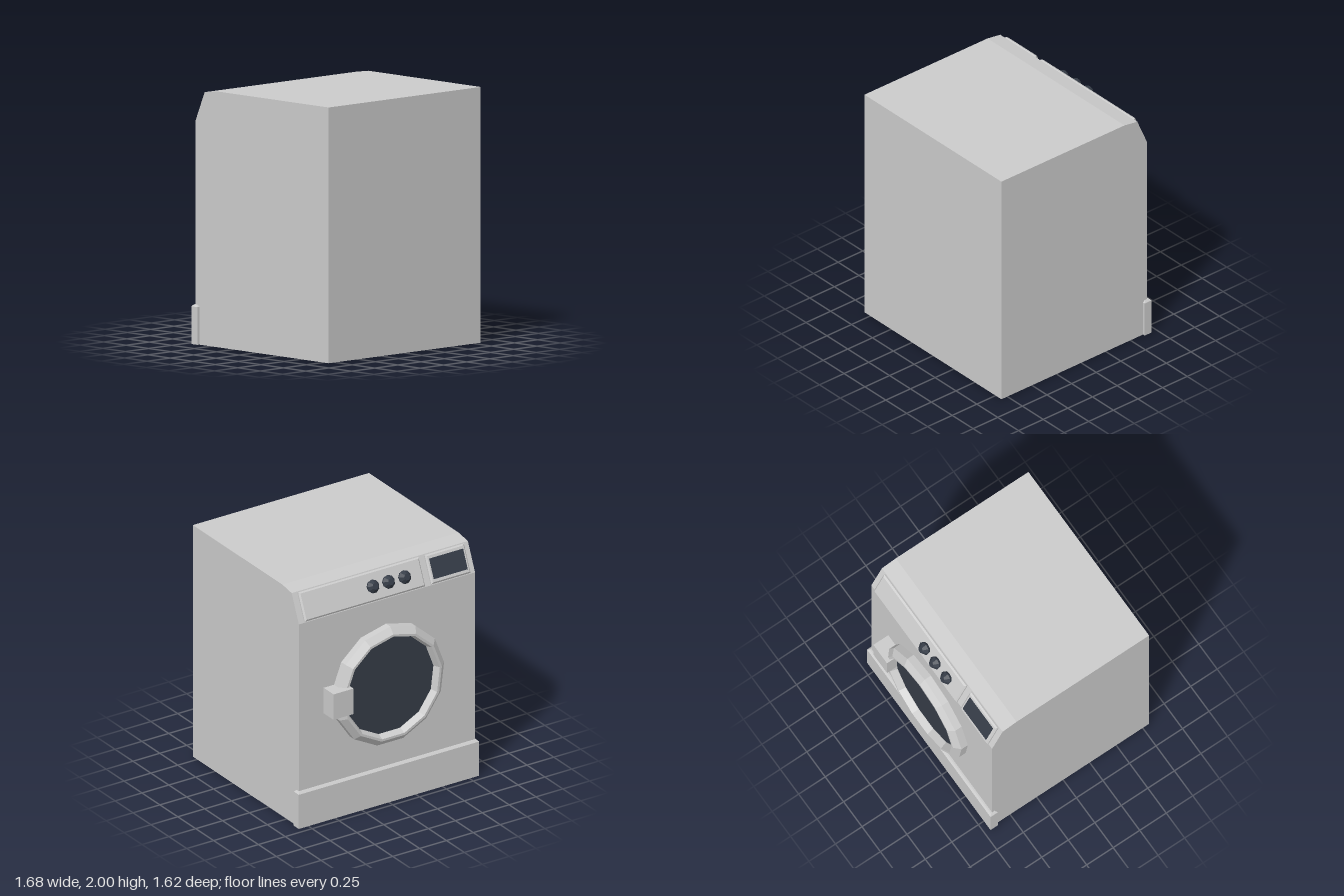
import * as THREE from 'three';

const shell = new THREE.MeshStandardMaterial({ color: 0xcbcbcb });
shell.name = 'light grey shell';
const dark = new THREE.MeshStandardMaterial({ color: 0x353c47 });
dark.name = 'dark slate';

// Give every face its own normal for crisp low-poly edges
function faceted(geometry) {
  const g = geometry.index ? geometry.toNonIndexed() : geometry;
  g.computeVertexNormals();
  return g;
}

function addPart(parent, name, geometry, material, x = 0, y = 0, z = 0) {
  const mesh = new THREE.Mesh(faceted(geometry), material);
  mesh.name = name;
  mesh.position.set(x, y, z);
  parent.add(mesh);
  return mesh;
}

// Slab standing on y = 0 whose upper edges are chamfered
function chamferedSlab(width, height, depth, chamfer) {
  const g = new THREE.BoxGeometry(width, height, depth, 1, 2, 1);
  const p = g.attributes.position;
  for (let i = 0; i < p.count; i++) {
    const y = p.getY(i);
    if (y > 0.001) {
      p.setX(i, p.getX(i) - Math.sign(p.getX(i)) * chamfer);
      p.setZ(i, p.getZ(i) - Math.sign(p.getZ(i)) * chamfer);
    } else if (y > -0.001) {
      p.setY(i, height / 2 - chamfer);
    }
  }
  return g.translate(0, height / 2, 0);
}

const profile = (points) => points.map(([x, y]) => new THREE.Vector2(x, y));

export function createModel() {
  const model = new THREE.Group();
  model.name = 'washingMachine';

  // Cabinet: side outline with a sloping control face, drawn across the width
  const outline = new THREE.Shape(profile([
    [-0.81, 0], [0.67, 0], [0.67, 1.75], [0.57, 1.98], [0.44, 2], [-0.81, 2],
  ]));
  const cabinet = new THREE.ExtrudeGeometry(outline, { depth: 1.64, bevelEnabled: false });
  cabinet.translate(0, 0, -0.82).rotateY(Math.PI / 2);
  addPart(model, 'cabinet', cabinet, shell);

  // Plinth wrapping the lower edge
  addPart(model, 'kickPlate', chamferedSlab(1.68, 0.31, 0.07, 0.015), shell, 0, 0, -0.663);

  // Control face: local y points out of the slope, local z runs up it
  const controls = new THREE.Group();
  controls.name = 'controlFace';
  controls.position.set(0, 1.865, -0.62);
  controls.rotation.x = -Math.atan2(0.23, 0.1);
  model.add(controls);

  addPart(controls, 'controlPanel', chamferedSlab(1.12, 0.024, 0.235, 0.012), shell, 0.21, 0, 0);
  addPart(controls, 'displayFrame', chamferedSlab(0.365, 0.024, 0.235, 0.012), shell, -0.59, 0, 0);
  addPart(controls, 'displayScreen', new THREE.BoxGeometry(0.315, 0.006, 0.165), dark, -0.59, 0.024, 0);

  // Tapered dials
  const dial = profile([[0.05, 0], [0.055, 0.022], [0.027, 0.056], [0, 0.056]]);
  for (const x of [-0.175, -0.025, 0.12]) {
    addPart(controls, 'dial', new THREE.LatheGeometry(dial, 9), dark, x, 0.022, 0);
  }

  // Round door: faceted ring, glass and latch block
  const door = new THREE.Group();
  door.name = 'door';
  door.position.set(0.01, 1.03, -0.67);
  door.rotation.x = -Math.PI / 2;
  model.add(door);

  const ring = profile([
    [0.505, 0], [0.505, 0.06], [0.455, 0.105], [0.435, 0.105], [0.415, 0.05], [0.415, 0],
  ]);
  addPart(door, 'doorRing', new THREE.LatheGeometry(ring, 13), shell);
  addPart(door, 'doorGlass', new THREE.CylinderGeometry(0.42, 0.42, 0.045, 26), dark, 0, 0.0225, 0);
  addPart(model, 'doorHandle', new THREE.BoxGeometry(0.185, 0.22, 0.15), shell, 0.4975, 1.03, -0.735);

  return model;
}
